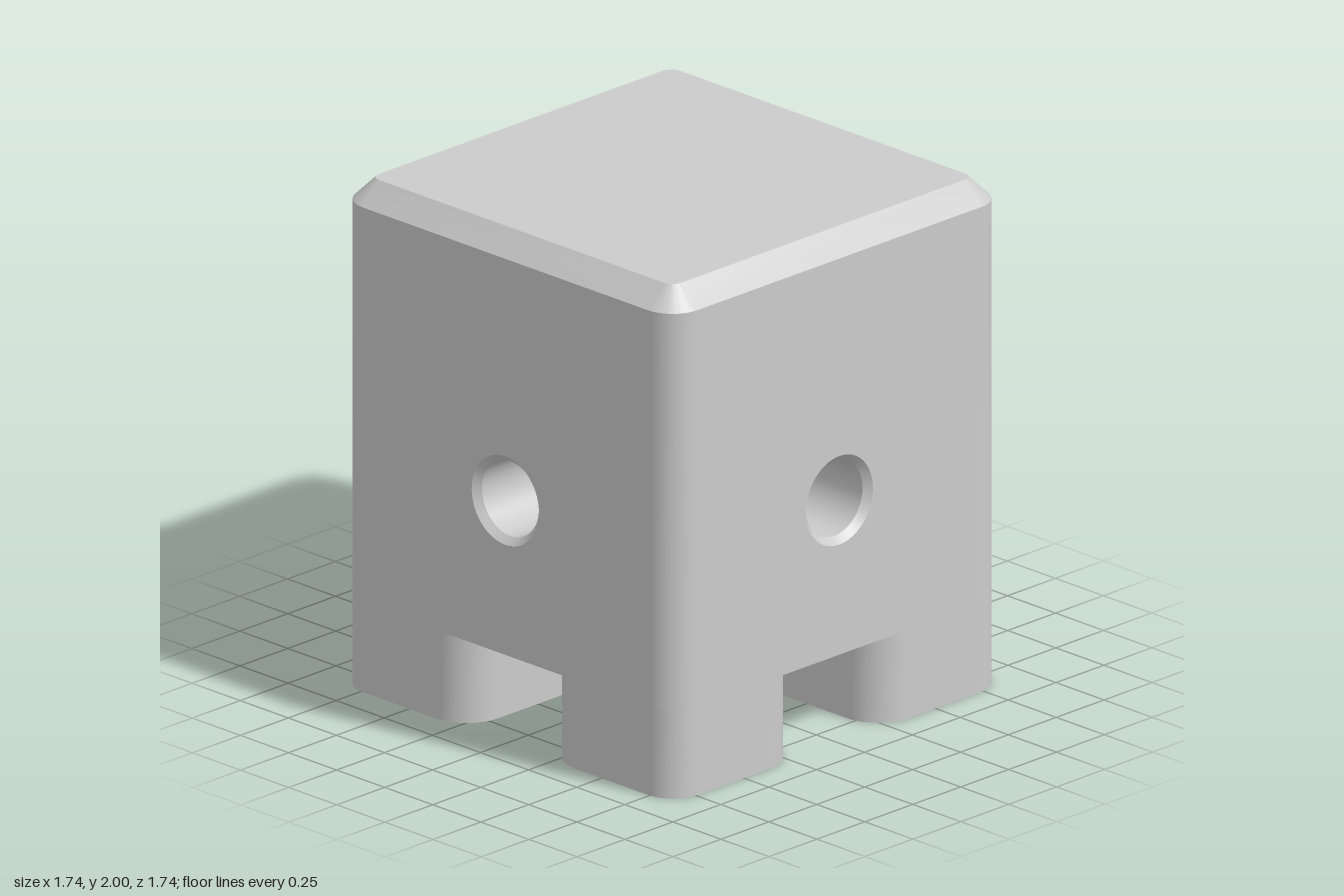
import * as THREE from 'three';
import { toCreasedNormals } from 'three/addons/utils/BufferGeometryUtils.js';

const HALF = 0.87, HEIGHT = 2, CORNER = 0.13, CHAMFER = 0.085;
const FOOT_H = 0.35, SLOT = 0.2, FLARE = 0.16;            // slot half width, slot corner radius
const BORE_Y = 0.96, BORE_R = 0.148, BORE_MOUTH = 0.175;
const BOLT = 0.54, BOLT_R = 0.105, BOLT_MOUTH = 0.13, BOLT_DEPTH = 0.45;

const material = new THREE.MeshStandardMaterial({ color: 0xcccccc });

function mesh(name, geometry) {
  const m = new THREE.Mesh(geometry, material);
  m.name = name;
  return m;
}

// Skin over a list of rings of points, all with the same count
function skin(rings, closed = true) {
  const pos = [], n = rings[0].length;
  for (let j = 0; j < rings.length - 1; j++) {
    for (let i = 0; i < (closed ? n : n - 1); i++) {
      const k = (i + 1) % n;
      const a = rings[j][i], b = rings[j][k], c = rings[j + 1][k], d = rings[j + 1][i];
      for (const p of [a, b, c, a, c, d]) pos.push(p.x, p.y, p.z);
    }
  }
  const g = new THREE.BufferGeometry();
  g.setAttribute('position', new THREE.Float32BufferAttribute(pos, 3));
  return toCreasedNormals(g, 0.5);
}

// Rounded rectangle in plan, counter-clockwise from above (v = -z);
// radii in the order +x+v, -x+v, -x-v, +x-v
function outline(x0, x1, v0, v1, radii) {
  const pts = [], steps = 12;
  [[x1, v1, 1, 1], [x0, v1, -1, 1], [x0, v0, -1, -1], [x1, v0, 1, -1]].forEach(([x, v, sx, sv], c) => {
    const r = radii[c];
    for (let i = 0; i <= steps; i++) {
      const a = (c + i / steps) * Math.PI / 2;
      pts.push(new THREE.Vector2(x - sx * r + r * Math.cos(a), v - sv * r + r * Math.sin(a)));
    }
  });
  return pts;
}

const square = (half, r) => outline(-half, half, -half, half, [r, r, r, r]);
const atHeight = (pts, y) => pts.map(p => new THREE.Vector3(p.x, y, -p.y));

function circleHole(x, y, r) {
  return new THREE.Path().absarc(x, y, r, 0, Math.PI * 2, true);
}

// Flat face looking down, with round holes at [x, z]
function underside(pts, y, holes, r) {
  const shape = new THREE.Shape(pts.map(p => new THREE.Vector2(p.x, -p.y)));
  for (const [x, z] of holes) shape.holes.push(circleHole(x, z, r));
  return new THREE.ShapeGeometry(shape, 24).rotateX(Math.PI / 2).translate(0, y, 0);
}

// Countersunk bore along z, seen from inside; endZ gives the depth of the inner end
function bore(mouthZ, mouthR, r, endZ) {
  const ring = (radius, z) => Array.from({ length: 48 }, (_, i) => {
    const a = i / 48 * Math.PI * 2, x = radius * Math.cos(a);
    return new THREE.Vector3(x, radius * Math.sin(a), z(x));
  });
  return skin([ring(mouthR, () => mouthZ), ring(r, () => mouthZ - (mouthR - r)), ring(r, endZ)]);
}

export function createModel() {
  const model = new THREE.Group();
  model.name = 'drilledBlock';

  // Four sides: panel with bore, mitred where the bores cross, and a round corner
  const flat = HALF - CORNER, wallTop = HEIGHT - CHAMFER;
  for (let k = 0; k < 4; k++) {
    const side = new THREE.Group();
    side.name = 'side';
    const panel = new THREE.Shape([[-flat, FOOT_H], [flat, FOOT_H], [flat, wallTop], [-flat, wallTop]]
      .map(([x, y]) => new THREE.Vector2(x, y)));
    panel.holes.push(circleHole(0, BORE_Y, BORE_MOUTH));
    side.add(mesh('sidePanel', new THREE.ShapeGeometry(panel, 24).translate(0, 0, HALF)));
    side.add(mesh('crossBore', bore(HALF, BORE_MOUTH, BORE_R, x => Math.abs(x)).translate(0, BORE_Y, 0)));
    const arc = square(HALF, CORNER).slice(0, 13);
    side.add(mesh('roundCorner', skin([atHeight(arc, FOOT_H), atHeight(arc, wallTop)], false)));
    side.rotation.y = k * Math.PI / 2;
    model.add(side);
  }

  // Chamfered top
  const body = square(HALF, CORNER), lid = square(HALF - CHAMFER, CORNER - CHAMFER);
  model.add(mesh('topChamfer', skin([atHeight(body, wallTop), atHeight(lid, HEIGHT)])));
  model.add(mesh('topFace', new THREE.ShapeGeometry(new THREE.Shape(lid))
    .rotateX(-Math.PI / 2).translate(0, HEIGHT, 0)));

  // Slot ceiling, pierced by the bolt holes
  const bolts = [[BOLT, BOLT], [BOLT, -BOLT], [-BOLT, BOLT], [-BOLT, -BOLT]];
  model.add(mesh('slotCeiling', underside(body, FOOT_H, bolts, BOLT_R)));

  // One long foot on +x, two short feet on -x
  const feet = [
    ['longFoot', outline(SLOT, HALF, -HALF, HALF, [CORNER, FLARE, FLARE, CORNER]), bolts.slice(0, 2)],
    ['frontFoot', outline(-HALF, -SLOT, -HALF, -SLOT, [FLARE, FLARE, CORNER, FLARE]), [bolts[2]]],
    ['backFoot', outline(-HALF, -SLOT, SLOT, HALF, [FLARE, CORNER, FLARE, FLARE]), [bolts[3]]],
  ];
  for (const [name, pts, holes] of feet) {
    const foot = new THREE.Group();
    foot.name = name;
    foot.add(mesh('footWall', skin([atHeight(pts, 0), atHeight(pts, FOOT_H)])));
    foot.add(mesh('footSole', underside(pts, 0, holes, BOLT_MOUTH)));
    // Blind bolt holes
    for (const [x, z] of holes) {
      const hole = new THREE.Group();
      hole.name = 'boltHole';
      hole.add(mesh('holeWall', bore(0, BOLT_MOUTH, BOLT_R, () => -BOLT_DEPTH)));
      hole.add(mesh('holeEnd', new THREE.CircleGeometry(BOLT_R, 48).translate(0, 0, -BOLT_DEPTH)));
      hole.rotation.x = Math.PI / 2;
      hole.position.set(x, 0, z);
      foot.add(hole);
    }
    model.add(foot);
  }
  return model;
}
